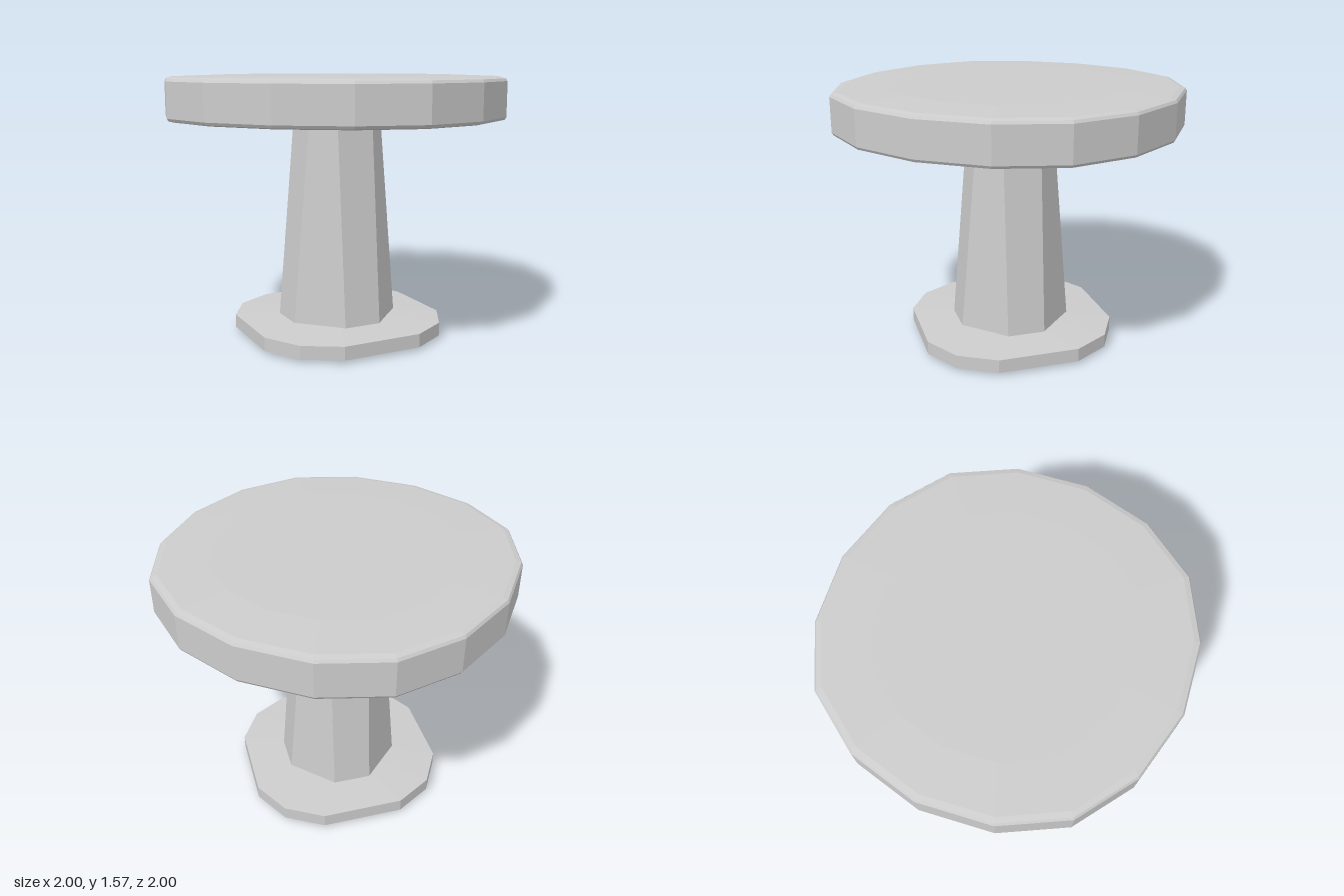
import * as THREE from 'three';

// Repeat the corner points of one quarter around the y axis; points are [x, z]
function outline(quarter) {
  const points = [];
  for (let turn = 0; turn < 4; turn++) {
    for (const [px, pz] of quarter) {
      let x = px, z = pz;
      for (let i = 0; i < turn; i++) [x, z] = [-z, x];
      points.push([x, z]);
    }
  }
  return points;
}

const scaled = (points, s) => points.map(([x, z]) => [x * s, z * s]);

// Join outlines, listed from bottom to top, with faces and close both ends
function loft(sections) {
  const n = sections[0].points.length;
  const position = [], index = [];
  for (const { points, y } of sections) {
    for (const [x, z] of points) position.push(x, y, z);
  }
  for (let r = 0; r < sections.length - 1; r++) {
    for (let i = 0; i < n; i++) {
      const j = (i + 1) % n;
      const a = r * n + i, b = r * n + j, c = a + n, d = b + n;
      index.push(a, c, b, b, c, d);
    }
  }
  const last = sections.length - 1;
  const bottom = position.length / 3, top = bottom + 1;
  position.push(0, sections[0].y, 0, 0, sections[last].y, 0);
  for (let i = 0; i < n; i++) {
    const j = (i + 1) % n;
    index.push(bottom, i, j, top, last * n + j, last * n + i);
  }
  const indexed = new THREE.BufferGeometry();
  indexed.setAttribute('position', new THREE.Float32BufferAttribute(position, 3));
  indexed.setIndex(index);
  const geometry = indexed.toNonIndexed(); // separate faces give flat shading
  geometry.computeVertexNormals();
  return geometry;
}

export function createModel() {
  const group = new THREE.Group();
  const grey = new THREE.MeshStandardMaterial({ color: 0xcccccc });
  grey.name = 'light grey';

  const add = (name, sections) => {
    const mesh = new THREE.Mesh(loft(sections), grey);
    mesh.name = name;
    group.add(mesh);
  };

  // Foot: twelve-sided plate, slightly domed above and below
  const foot = outline([[0.645, 0], [0.58, 0.24], [0.24, 0.58]]);
  add('foot', [[0.5, 0], [1, 0.02], [1, 0.1], [0.52, 0.115]]
    .map(([s, y]) => ({ points: scaled(foot, s), y })));

  // Column: tapering eight-sided post
  add('column', [
    { points: outline([[0.32, 0.16], [0.16, 0.32]]), y: 0.1 },
    { points: outline([[0.245, 0.085], [0.085, 0.245]]), y: 1.32 },
  ]);

  // Round top: sixteen-sided disc with softened rims
  const disc = outline([[1, 0], [0.93, 0.4], [0.73, 0.73], [0.4, 0.93]]);
  add('roundTop', [
    [0.7, 1.305], [0.96, 1.313], [0.99, 1.32], [1, 1.335],
    [1, 1.535], [0.99, 1.55], [0.96, 1.558], [0.7, 1.567],
  ].map(([s, y]) => ({ points: scaled(disc, s), y })));

  return group;
}
